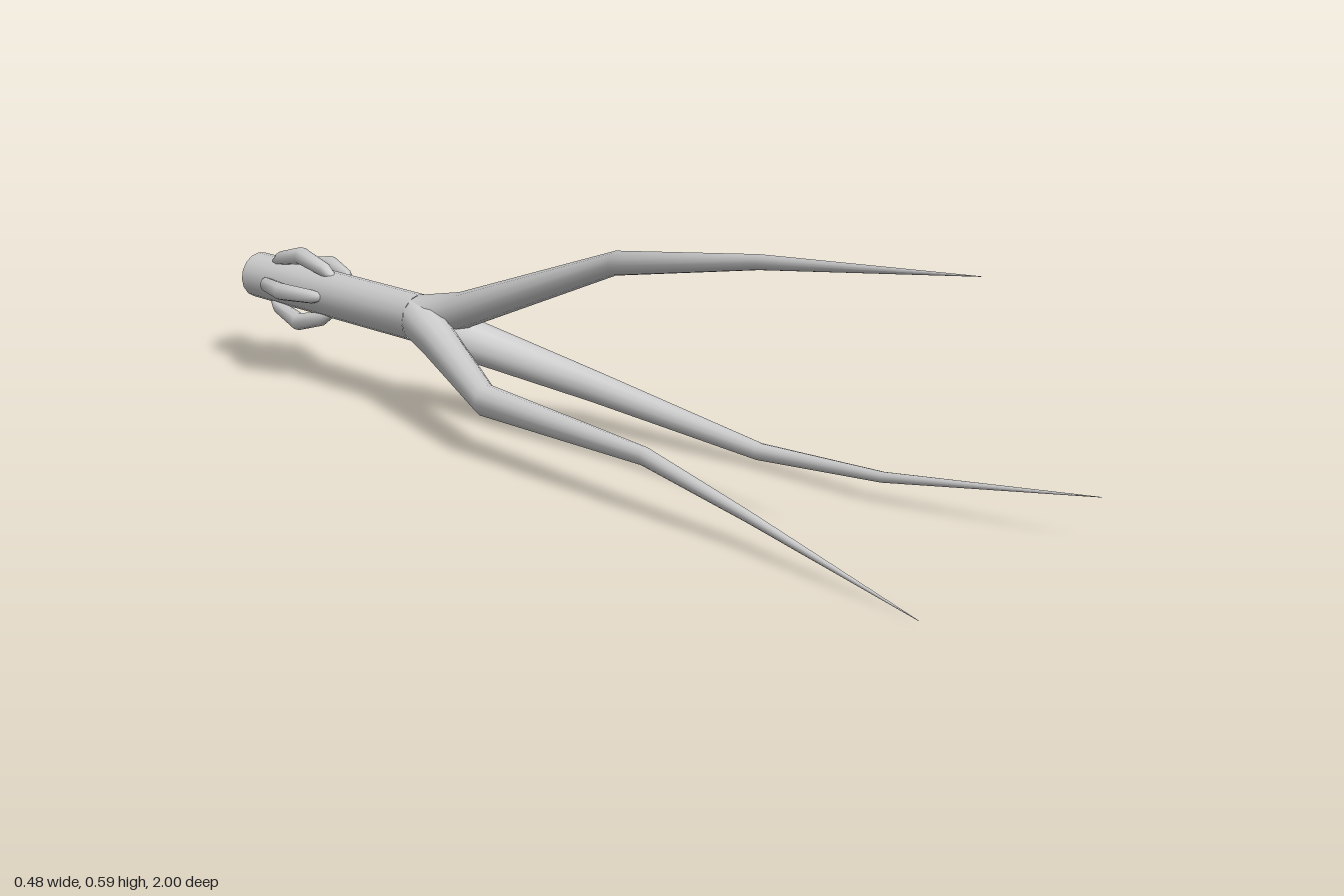
import * as THREE from 'three';

const material = new THREE.MeshStandardMaterial({ color: 0xcccccc, side: THREE.DoubleSide });

// Skin of round cross-sections facing +z; each station is [x, y, z, radius]
function loft(name, stations, sides) {
  const positions = [], index = [];
  for (const [x, y, z, r] of stations) {
    for (let j = 0; j < sides; j++) {
      const a = (j / sides) * Math.PI * 2;
      positions.push(x + r * Math.cos(a), y + r * Math.sin(a), z);
    }
  }
  for (let i = 0; i < stations.length - 1; i++) {
    for (let j = 0; j < sides; j++) {
      const k = (j + 1) % sides;
      const a = i * sides + j, b = i * sides + k;
      index.push(a, b, a + sides, b, b + sides, a + sides);
    }
  }
  const geometry = new THREE.BufferGeometry();
  geometry.setAttribute('position', new THREE.Float32BufferAttribute(positions, 3));
  geometry.setIndex(index);
  geometry.computeVertexNormals();
  const mesh = new THREE.Mesh(geometry, material);
  mesh.name = name;
  return mesh;
}

export function createModel() {
  const model = new THREE.Group();
  model.name = 'forkedBranch';
  const cx = -0.055, cy = 0.215, r = 0.052;

  // Hollow stem, open at the back
  model.add(loft('stem', [[cx, cy, -1, r], [cx, cy, -0.47, r]], 16));

  // Three prongs grow out of the front rim of the stem and taper to points
  const root = [cx, cy, -0.47, r];
  const prongs = {
    upperProng: [
      [-0.022, 0.24, -0.38, 0.043], [-0.083, 0.448, 0.11, 0.025],
      [-0.092, 0.515, 0.46, 0.015], [-0.14, 0.588, 0.945, 0.0005],
    ],
    rightProng: [
      [-0.088, 0.192, -0.38, 0.046], [-0.163, 0.125, -0.17, 0.033],
      [-0.186, 0.12, 0.27, 0.018], [-0.19, 0.066, 0.52, 0.011],
      [-0.24, 0.001, 0.92, 0.0005],
    ],
    leftProng: [
      [-0.015, 0.182, -0.38, 0.047], [0.118, 0.093, -0.12, 0.033],
      [0.167, 0.031, 0.28, 0.018], [0.162, 0.054, 0.58, 0.011],
      [0.24, 0.1, 1, 0.0005],
    ],
  };
  for (const [name, stations] of Object.entries(prongs)) {
    model.add(loft(name, [root, ...stations], 12));
  }

  // Ring of bent knobs near the back end; both ends sink into the stem
  const knobs = new THREE.Group();
  knobs.name = 'knobs';
  for (let i = 0; i < 5; i++) {
    const a = THREE.MathUtils.degToRad(30 + i * 72);
    const profile = [[0.042, -0.935, 0.008], [0.058, -0.91, 0.016], [0.08, -0.83, 0.02],
      [0.058, -0.755, 0.016], [0.042, -0.73, 0.008]];
    const stations = profile.map(([d, z, radius]) =>
      [cx + d * Math.cos(a), cy + d * Math.sin(a), z, radius]);
    knobs.add(loft('knob', stations, 8));
  }
  model.add(knobs);
  return model;
}
